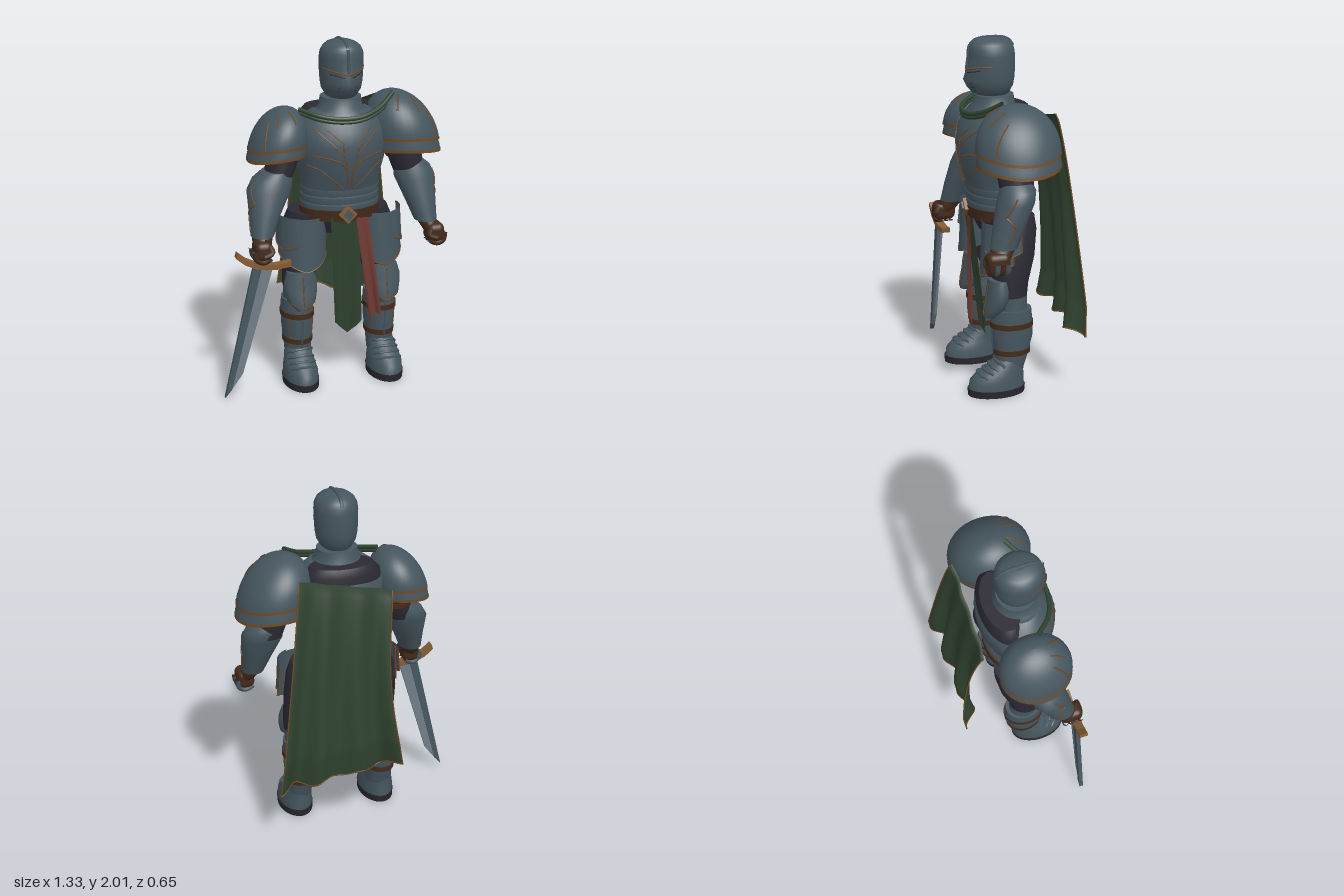
import * as THREE from 'three';
import { RoundedBoxGeometry } from 'three/addons/geometries/RoundedBoxGeometry.js';
import { ParametricGeometry } from 'three/addons/geometries/ParametricGeometry.js';

const mat = (name, color, side = THREE.FrontSide) => {
  const m = new THREE.MeshStandardMaterial({ color, side });
  m.name = name;
  return m;
};
const V = (x, y, z) => new THREE.Vector3(x, y, z);
const mix = THREE.MathUtils.lerp;

// Body through elliptical rings [y, cx, cz, rx, rz, keel], listed upwards
function loft(rings, capped = true, n = 36) {
  const pos = [], idx = [];
  const ringPoints = ([y, cx, cz, rx, rz, keel = 0]) => {
    for (let j = 0; j < n; j++) {
      const a = j / n * Math.PI * 2, s = Math.sin(a), c = Math.cos(a);
      pos.push(cx + rx * s, y, cz + rz * c + (c > 0 ? keel * (1 - Math.abs(s)) : 0));
    }
  };
  rings.forEach(ringPoints);
  for (let i = 0; i < rings.length - 1; i++) for (let j = 0; j < n; j++) {
    const k = (j + 1) % n, a = i * n + j, b = i * n + k;
    idx.push(a, b, b + n, a, b + n, a + n);
  }
  if (capped) for (const top of [false, true]) {
    const r = top ? rings[rings.length - 1] : rings[0], start = pos.length / 3;
    ringPoints(r);
    pos.push(r[1], r[0], r[2]);
    for (let j = 0; j < n; j++) {
      const a = start + j, b = start + (j + 1) % n;
      idx.push(start + n, top ? a : b, top ? b : a);
    }
  }
  const g = new THREE.BufferGeometry();
  g.setAttribute('position', new THREE.Float32BufferAttribute(pos, 3));
  g.setIndex(idx);
  g.computeVertexNormals();
  return g;
}

export function createModel() {
  const root = new THREE.Group();
  const armour = mat('armour', 0x46565f), undersuit = mat('undersuit', 0x2b2932);
  const leather = mat('leather', 0x442a1b), bronze = mat('bronze', 0x734a22), gold = mat('gold', 0x845c35);
  const cloth = mat('green cloth', 0x304330, THREE.DoubleSide), red = mat('red cloth', 0x703a33, THREE.DoubleSide);
  const steel = mat('blade steel', 0x707d87), sole = mat('sole', 0x28262c);
  const plateMat = mat('armour plate', 0x46565f, THREE.DoubleSide);

  const add = (name, geo, m) => {
    const mesh = new THREE.Mesh(geo, m);
    mesh.name = name;
    root.add(mesh);
    return mesh;
  };
  const tube = (name, pts, r, m, sides = 6) =>
    add(name, new THREE.TubeGeometry(new THREE.CatmullRomCurve3(pts), pts.length * 3, r, sides), m);
  // Thin line laid on a surface, projected from the front, the top or a side
  const ray = new THREE.Raycaster();
  const trim = (name, target, pts, from = 'front', m = bronze, r = 0.005) => {
    const hits = [];
    for (let i = 0; i < pts.length - 1; i++) for (let t = 0; t < 6 + (i === pts.length - 2); t++) {
      const a = mix(pts[i][0], pts[i + 1][0], t / 6), b = mix(pts[i][1], pts[i + 1][1], t / 6);
      if (from === 'front') ray.set(V(a, b, 3), V(0, 0, -1));
      else if (from === 'top') ray.set(V(a, 3, b), V(0, -1, 0));
      else ray.set(V(from * 3, b, a), V(-from, 0, 0));
      const h = ray.intersectObject(target)[0];
      if (h) hits.push(h.point);
    }
    if (hits.length > 1) tube(name, hits, r, m, 5);
  };
  const CX = 0.07;

  // Helmet
  const helmet = add('helmet', loft([
    [1.67, CX, 0.095, 0.06, 0.075], [1.69, CX, 0.1, 0.088, 0.098, 0.01], [1.73, CX, 0.1, 0.111, 0.118, 0.028],
    [1.77, CX, 0.1, 0.118, 0.125, 0.04], [1.83, CX, 0.1, 0.122, 0.13, 0.015], [1.9, CX, 0.103, 0.123, 0.132],
    [1.935, CX, 0.105, 0.119, 0.129], [1.962, CX, 0.107, 0.105, 0.118], [1.981, CX, 0.107, 0.082, 0.097],
    [1.992, CX, 0.107, 0.052, 0.066], [1.996, CX, 0.107, 0.02, 0.03]]), armour);
  trim('browTrim', helmet, [[-0.048, 1.85], [CX, 1.822], [0.188, 1.85]]);
  trim('helmetCrest', helmet, [[CX, -0.02], [CX, 0.1], [CX, 0.22]], 'top', armour, 0.01);
  trim('helmetRidge', helmet, [[CX, 1.96], [CX, 1.83]], 'front', armour, 0.01);
  for (const s of [-1, 1]) {
    trim('eyeSlit', helmet, [[CX + s * 0.02, 1.808], [CX + s * 0.09, 1.825]], 'front', undersuit, 0.003);
    for (let i = 0; i < 3; i++)
      trim('breathSlot', helmet, [[CX + s * 0.04, 1.75 - i * 0.018], [CX + s * 0.052, 1.752 - i * 0.018]], 'front', undersuit, 0.003);
  }

  // Torso
  add('gorget', loft([[1.54, CX, 0.1, 0.2, 0.16], [1.6, CX, 0.095, 0.155, 0.14], [1.625, CX, 0.09, 0.122, 0.12], [1.68, CX, 0.09, 0.115, 0.11]]), armour);
  add('collar', loft([[1.5, CX, 0.02, 0.235, 0.14], [1.57, CX, 0.0, 0.22, 0.12], [1.615, CX, 0.0, 0.18, 0.1]]), undersuit);
  const cuirass = add('cuirass', loft([
    [1.16, CX, 0.08, 0.222, 0.168], [1.25, CX, 0.08, 0.235, 0.19, 0.01], [1.35, CX, 0.08, 0.262, 0.208, 0.012],
    [1.43, CX, 0.08, 0.278, 0.212, 0.012], [1.51, CX, 0.075, 0.268, 0.205, 0.008], [1.57, CX, 0.078, 0.22, 0.168],
    [1.61, CX, 0.09, 0.16, 0.13]]), armour);
  for (let i = 0; i < 3; i++) {
    const y = 1.04 + i * 0.045;
    add('waistLame', loft([[y, CX, 0.08, 0.222, 0.165], [y + 0.04, CX, 0.08, 0.23, 0.174], [y + 0.046, CX, 0.08, 0.222, 0.165]]), armour);
  }
  for (const s of [-1, 1]) {
    const line = (...p) => trim('breastTrim', cuirass, p.map(([x, y]) => [CX + s * x, y]), 'front', bronze, 0.004);
    line([0.01, 1.19], [0.015, 1.3], [0.04, 1.39], [0.1, 1.45], [0.19, 1.53]);
    line([0.015, 1.3], [0.06, 1.35], [0.12, 1.37], [0.2, 1.38]);
    line([0.03, 1.18], [0.09, 1.24], [0.16, 1.3], [0.22, 1.32]);
    line([0.04, 1.4], [0.045, 1.46], [0.12, 1.525]);
  }
  add('hips', loft([[0.9, CX, 0.055, 0.17, 0.12], [0.96, CX, 0.06, 0.205, 0.145], [1.04, CX, 0.075, 0.22, 0.16]]), undersuit);
  add('belt', loft([[0.99, CX, 0.075, 0.233, 0.173], [1.055, CX, 0.08, 0.235, 0.178]]), leather);
  for (const [w, z, m] of [[0.075, 0.262, gold], [0.045, 0.272, armour]]) {
    const b = add('buckle', new THREE.BoxGeometry(w, w, 0.02), m);
    b.position.set(CX - 0.005, 1.035, z);
    b.rotation.z = Math.PI / 4;
  }

  // Scarf over the breast
  for (const [d, r] of [[0, 0.013], [0.02, 0.011]])
    tube('scarf', [V(-0.18, 1.625 - d, 0.13), V(-0.09, 1.6 - d, 0.22), V(0.03, 1.585 - d, 0.26),
      V(0.15, 1.59 - d, 0.255), V(0.27, 1.625 - d, 0.2), V(0.365, 1.685 - d, 0.13)], r, cloth, 8);

  // Shoulder plates: an open domed cap over a flared lame, both rimmed
  const pauldron = (s, cx, cy, cz, rx, ry, rz) => {
    const ring = (y, k) => [cy + y, cx - s * 0.17 * y, cz, rx * k, rz * k];
    const shell = (name, rings, m) => {
      const g = loft(rings, false), p = g.attributes.position;
      for (let i = 0; i < p.count; i++) {
        const dx = (p.getX(i) - cx) / rx, dz = (p.getZ(i) - cz) / rz;
        p.setY(i, p.getY(i) - s * 0.012 * dx + 0.025 * (dz * dz - 0.5));
      }
      g.computeVertexNormals();
      return add(name, g, m);
    };
    const dome = [], drop = -0.25 * ry;
    for (let i = 0; i <= 12; i++) {
      const a = i / 12 * 1.568;
      dome.push(ring(ry * Math.sin(a), Math.cos(a)));
    }
    const cap = shell('pauldron', dome, plateMat);
    shell('pauldronLame', [ring(drop, 0.99), ring(drop / 2, 0.985), ring(0.02, 0.95)], plateMat);
    shell('pauldronRim', [ring(-0.003, 1.006), ring(0.012, 1.006)], bronze);
    shell('lameRim', [ring(drop - 0.003, 0.998), ring(drop + 0.013, 0.998)], bronze);
    for (const [a, b] of [[-0.25, -0.4], [0.1, 0.2], [0.42, 0.66]])
      trim('pauldronTrim', cap, [[cx + s * a * rx, cz + 0.35 * rz], [cx + s * b * rx, cz + 0.73 * rz]], 'top');
  };
  pauldron(1, 0.442, 1.425, 0.063, 0.214, 0.27, 0.235);
  pauldron(-1, -0.29, 1.42, 0.08, 0.166, 0.222, 0.204);

  // Arms, with gauntlets closed into fists
  const arm = (s, upper, fore, hand) => {
    add('upperArm', loft(upper), undersuit);
    const [, ux, uz, urx, urz] = upper[1];
    add('armStrap', loft([1.3, 1.325].map(y => [y, ux, uz - 0.016, urx + 0.003, urz])), leather);
    const vambrace = add('vambrace', loft(fore), armour);
    const z = fore[2][2];
    trim('vambraceTrim', vambrace, [[z + 0.02, 1.22], [z + 0.08, 1.12], [z + 0.03, 1.06], [z + 0.07, 0.97]], s);
    const [hx, hy, hz] = hand;
    add('gloveCuff', loft([[hy - 0.01, hx, hz, 0.05, 0.06], [fore[0][0] + 0.01, fore[0][1], fore[0][2], 0.058, 0.068]]), leather);
    const fist = add('fist', new RoundedBoxGeometry(0.1, 0.11, 0.13, 3, 0.035), leather);
    fist.position.set(hx, hy - 0.005, hz);
    for (let i = 0; i < 4; i++) {
      const dz = -0.045 + i * 0.03;
      tube('finger', [V(hx + s * 0.05, hy, hz + dz), V(hx + s * 0.04, hy - 0.05, hz + dz),
        V(hx, hy - 0.065, hz + dz), V(hx - s * 0.04, hy - 0.045, hz + dz)], 0.016, i % 2 ? leather : armour, 7);
    }
    tube('thumb', [V(hx - s * 0.03, hy + 0.03, hz + 0.04), V(hx - s * 0.045, hy - 0.01, hz + 0.055), V(hx, hy - 0.03, hz + 0.058)], 0.016, leather, 7);
  };
  arm(1, [[1.2, 0.485, 0.08, 0.085, 0.09], [1.31, 0.455, 0.085, 0.1, 0.1], [1.5, 0.42, 0.07, 0.1, 0.11]],
    [[0.94, 0.555, 0.18, 0.065, 0.075], [1.05, 0.535, 0.145, 0.088, 0.088], [1.18, 0.512, 0.1, 0.118, 0.102], [1.24, 0.5, 0.085, 0.108, 0.098], [1.28, 0.485, 0.085, 0.075, 0.08]],
    [0.593, 0.88, 0.225]);
  arm(-1, [[1.2, -0.31, 0.1, 0.08, 0.085], [1.31, -0.27, 0.08, 0.087, 0.1], [1.5, -0.24, 0.07, 0.09, 0.1]],
    [[0.94, -0.415, 0.2, 0.065, 0.075], [1.05, -0.39, 0.165, 0.088, 0.09], [1.18, -0.352, 0.12, 0.128, 0.105], [1.24, -0.33, 0.105, 0.115, 0.1], [1.28, -0.31, 0.1, 0.08, 0.085]],
    [-0.43, 0.88, 0.255]);

  // Sword with a bevelled outer edge
  const flat = (name, pts, z, d, m) => {
    const g = new THREE.ExtrudeGeometry(new THREE.Shape(pts.map(p => new THREE.Vector2(...p))), { depth: d, bevelEnabled: false });
    g.translate(0, 0, z);
    return add(name, g, m);
  };
  flat('blade', [[-0.45, 0.79], [-0.63, 0.06], [-0.56, 0.155], [-0.375, 0.785]], 0.273, 0.014, steel);
  flat('bladeEdge', [[-0.488, 0.8], [-0.665, 0.02], [-0.625, 0.068], [-0.44, 0.79]], 0.268, 0.024, armour);
  const guard = [[-0.58, 0.882], [-0.53, 0.84], [-0.47, 0.812], [-0.41, 0.8], [-0.35, 0.796], [-0.275, 0.806]];
  flat('crossguard', [...guard, ...guard.map(([x, y]) => [x - 0.008, y - 0.03]).reverse()], 0.256, 0.048, gold);
  tube('grip', [V(-0.435, 0.79, 0.28), V(-0.415, 0.87, 0.28), V(-0.4, 0.94, 0.28)], 0.018, leather, 8);

  // Legs
  for (const s of [-1, 1]) {
    const X = CX + s * 0.25;
    add('thigh', loft([[0.58, X, 0.07, 0.085, 0.095], [0.65, X - s * 0.01, 0.068, 0.095, 0.102],
      [0.8, X - s * 0.03, 0.045, 0.115, 0.12], [0.95, X - s * 0.06, 0.035, 0.13, 0.13], [1.02, X - s * 0.08, 0.04, 0.12, 0.13]]), undersuit);
    add('kneeJoint', loft([[0.48, X, 0.06, 0.082, 0.09], [0.54, X, 0.06, 0.078, 0.085], [0.6, X, 0.065, 0.08, 0.088]]), armour);
    const knee = add('poleyn', loft([[0.46, X, 0.19, 0.035, 0.035], [0.51, X, 0.165, 0.082, 0.06],
      [0.57, X, 0.145, 0.097, 0.065], [0.62, X, 0.14, 0.096, 0.065], [0.68, X, 0.135, 0.078, 0.06]]), armour);
    trim('kneeTrim', knee, [[X, 0.66], [X, 0.49]], 'front', bronze, 0.004);
    trim('kneeTrim', knee, [[X - 0.085, 0.515], [X, 0.472], [X + 0.085, 0.515]], 'front', bronze, 0.004);
    const greave = add('greave', loft([[0.13, X, 0.075, 0.075, 0.075], [0.2, X, 0.068, 0.078, 0.092],
      [0.33, X, 0.06, 0.09, 0.118], [0.42, X, 0.06, 0.093, 0.118], [0.5, X, 0.06, 0.09, 0.11]]), armour);
    for (const x of [-0.07, 0, 0.07]) trim('greaveTrim', greave, [[X + x, 0.46], [X + x * 0.85, 0.18]], 'front', x ? bronze : armour, x ? 0.003 : 0.006);
    for (const [y, rx, rz] of [[0.395, 0.098, 0.124], [0.235, 0.087, 0.108]])
      add('greaveStrap', loft([[y, X, 0.062, rx, rz], [y + 0.03, X, 0.062, rx, rz]]), leather);

    // Sabaton
    const F = X + s * 0.006;
    add('sole', loft([[0, F, 0.155, 0.1, 0.165], [0.04, F, 0.155, 0.102, 0.168]]), sole);
    const boot = add('sabaton', loft([[0.035, F, 0.155, 0.098, 0.162], [0.085, F, 0.152, 0.097, 0.158],
      [0.125, F, 0.135, 0.088, 0.138], [0.16, F, 0.105, 0.08, 0.112], [0.21, X, 0.075, 0.074, 0.08]]), armour);
    for (let i = 0; i < 4; i++) {
      const z = 0.165 + i * 0.033;
      trim('sabatonLame', boot, [[F - 0.075, z - 0.04], [F - 0.045, z - 0.01], [F, z], [F + 0.045, z - 0.01], [F + 0.075, z - 0.04]], 'top', armour, 0.009);
    }

    // Tassets: curved plates with a pointed hem
    const T = CX + s * 0.215;
    const tasset = (name, a0, a1, yTop, yTip, yEdge, k) => {
      const at = (u, v, p) => {
        const a = s * mix(a0, a1, u), hem = mix(yTip, yEdge, Math.abs(2 * u - 1) ** 1.3);
        return p.set(T + s * 0.01 * v + 0.138 * k * Math.sin(a), mix(yTop, hem, v), 0.075 + (0.145 + 0.015 * v) * k * Math.cos(a));
      };
      add(name, new ParametricGeometry(at, 20, 8), plateMat);
      const hem = [];
      for (let i = 0; i <= 16; i++) hem.push(at(i / 16, 1, V()));
      tube('tassetTrim', hem, 0.004, bronze, 5);
      tube('tassetEdge', [1, 0.66, 0.33, 0].map(v => at(1, v, V())), 0.004, bronze, 5);
    };
    tasset('tasset', -1.4, 1.5, 1.01, 0.7, 0.79, 1);
    tasset('hipPlate', 0.4, 1.8, 1.015, 0.82, 0.86, 1.04);
  }

  // Cloth hanging from the belt
  const strip = (name, m, [x0, x1, y, z0], [x2, x3, y2, z1], tip) =>
    add(name, new ParametricGeometry((u, v, p) => p.set(mix(mix(x0, x1, u), mix(x2, x3, u), v),
      mix(y, y2 - tip * (1 - Math.abs(2 * u - 1)), v), mix(z0, z1, v) + 0.012 * v * Math.sin(u * 9)), 16, 14), m);
  strip('loincloth', cloth, [-0.03, 0.14, 1.02, 0.24], [0.02, 0.18, 0.35, 0.165], 0.08);
  strip('sash', red, [0.112, 0.185, 1.01, 0.262], [0.19, 0.265, 0.41, 0.272], -0.02);

  // Cape hung from the left shoulder, folds deepening toward a hem that curls forward
  const capeAt = (u, v, p) => p.set(
    mix(mix(-0.17, 0.365, u), mix(-0.2, 0.53, u), v) + 0.05 * Math.sin(v * Math.PI) * (1 - u),
    mix(mix(1.49, 1.61, u), mix(0.44, 0.365, u), v) + 0.012 * v * Math.sin(u * 23),
    -0.166 - 0.12 * v ** 0.6 + 0.025 * Math.max(0, (v - 0.86) / 0.14)
      + (0.006 + 0.042 * v) * Math.sin(u * 19 - 1.7) * (0.75 + 0.25 * Math.cos(u * 7)));
  add('cape', new ParametricGeometry(capeAt, 60, 24), cloth);
  const edge = f => Array.from({ length: 31 }, (_, i) => capeAt(...f(i / 30), V()));
  for (const f of [t => [t, 1], t => [0, t], t => [1, t]]) tube('capeHem', edge(f), 0.004, bronze, 5);

  return root;
}
